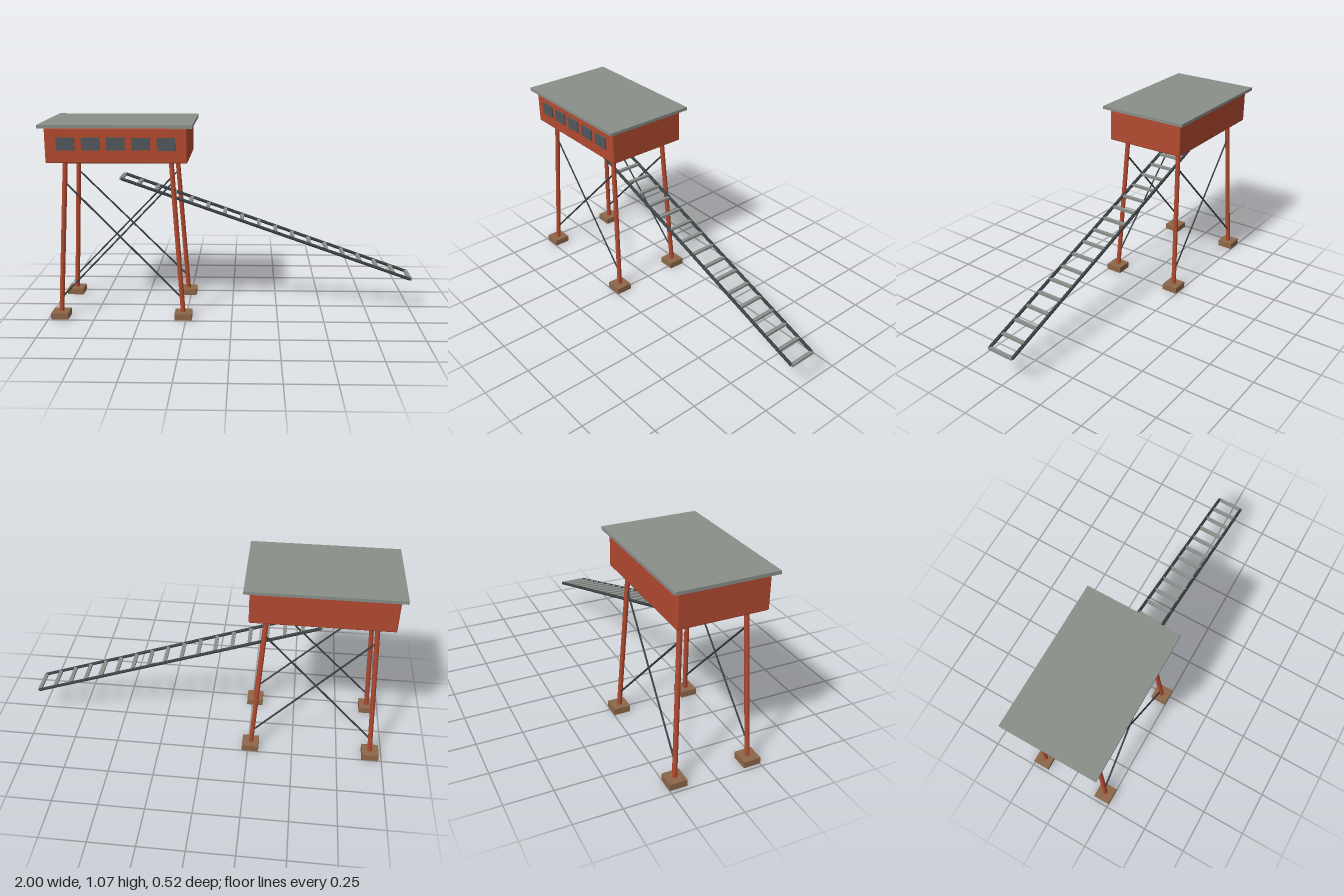
import * as THREE from 'three';
import { RoundedBoxGeometry } from 'three/addons/geometries/RoundedBoxGeometry.js';

const material = (name, color) => {
  const m = new THREE.MeshStandardMaterial({ color });
  m.name = name;
  return m;
};

export function createModel() {
  const red = material('red paint', 0xb24a30);
  const grey = material('grey metal', 0x8a8f8a);
  const dark = material('dark steel', 0x3c4245);
  const glass = material('window glass', 0x50585b);
  const wood = material('footing brown', 0x8d6748);

  const model = new THREE.Group();
  model.name = 'stiltCabin';

  const add = (name, geometry, mat, x = 0, y = 0, z = 0) => {
    const mesh = new THREE.Mesh(geometry, mat);
    mesh.name = name;
    mesh.position.set(x, y, z);
    model.add(mesh);
    return mesh;
  };
  const box = (name, size, mat, x, y, z) => add(name, new THREE.BoxGeometry(...size), mat, x, y, z);

  // Round bar between two points
  const UP = new THREE.Vector3(0, 1, 0);
  const bar = (name, a, b, radius, sides, mat) => {
    const dir = b.clone().sub(a);
    const mesh = add(name, new THREE.CylinderGeometry(radius, radius, dir.length(), sides), mat);
    mesh.position.copy(a).add(b).multiplyScalar(0.5);
    mesh.quaternion.setFromUnitVectors(UP, dir.normalize());
  };

  const CX = -0.6; // centre of the cabin

  // Cabin and flat roof
  add('cabin', new RoundedBoxGeometry(0.742, 0.185, 0.466, 2, 0.008), red, CX, 0.9545, 0);
  box('roof', [0.8, 0.017, 0.522], grey, CX, 1.0575, 0);

  // Row of front windows
  for (let i = -2; i <= 2; i++) {
    box('window', [0.095, 0.066, 0.008], glass, CX + i * 0.131, 0.965, 0.236);
  }

  // Point on the splayed leg line at height y
  const legPoint = (sx, sz, y) => {
    const t = y / 0.87;
    return new THREE.Vector3(
      CX + sx * THREE.MathUtils.lerp(0.336, 0.28, t), y,
      sz * THREE.MathUtils.lerp(0.204, 0.17, t));
  };

  for (const sz of [1, -1]) {
    for (const sx of [1, -1]) {
      // Leg, footing and diagonal brace
      bar('leg', legPoint(sx, sz, 0.001), legPoint(sx, sz, 0.87), 0.0132, 10, red);
      box('footing', [0.093, 0.036, 0.093], wood, CX + sx * 0.336, 0.02, sz * 0.204);
      bar('brace', legPoint(-sx, sz, 0.115), legPoint(sx, sz, 0.753), 0.005, 6, dark);
    }
  }

  // Sloping ladder: two rails with level rungs
  const top = new THREE.Vector3(-0.603, 0.751, 0);
  const foot = new THREE.Vector3(0.989, 0.189, 0);
  for (const z of [0.075, -0.075]) {
    bar('ladderRail', top.clone().setZ(z), foot.clone().setZ(z), 0.0088, 8, dark);
  }
  const RUNGS = 18;
  for (let i = 0; i < RUNGS; i++) {
    const p = top.clone().lerp(foot, i / (RUNGS - 1));
    box('ladderRung', [0.02, 0.0125, 0.154], grey, p.x, p.y, 0);
  }

  return model;
}
